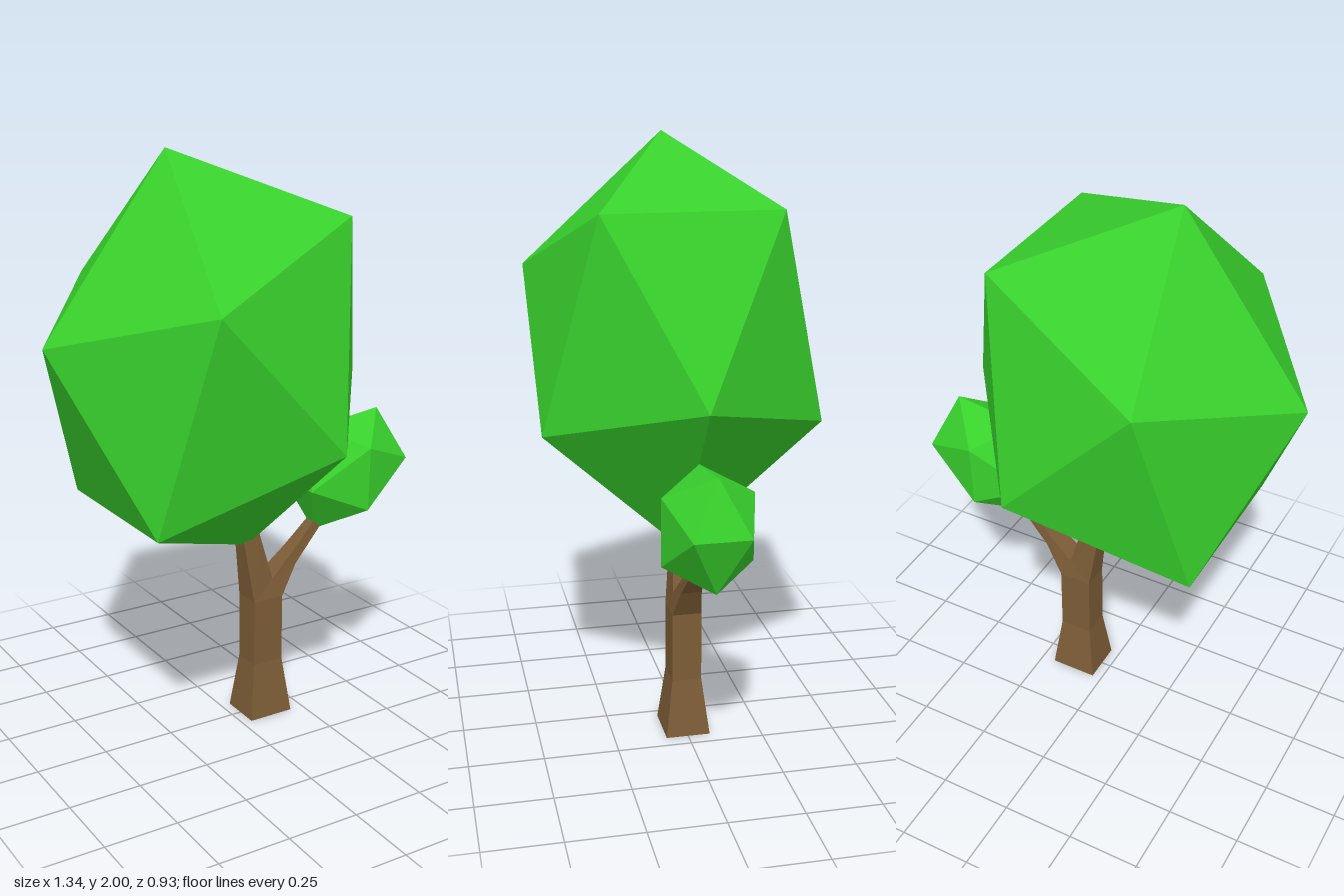
import * as THREE from 'three';
import { ConvexGeometry } from 'three/addons/geometries/ConvexGeometry.js';

const leafMaterial = new THREE.MeshStandardMaterial({ color: 0x38d02c, flatShading: true });
const barkMaterial = new THREE.MeshStandardMaterial({ color: 0x7d5d37, flatShading: true });

// Faceted leaf mass: points with z > 0 are mirrored to -z
function foliage(name, points) {
  const all = [];
  for (const [x, y, z] of points) {
    all.push(new THREE.Vector3(x, y, z));
    if (z > 0) all.push(new THREE.Vector3(x, y, -z));
  }
  const mesh = new THREE.Mesh(new ConvexGeometry(all), leafMaterial);
  mesh.name = name;
  return mesh;
}

// Four-sided limb lofted through rings [xLeft, yLeft, zHalfLeft, xRight, yRight, zHalfRight]
function limb(name, rings) {
  const corners = rings.map(([xl, yl, zl, xr, yr, zr]) => [
    [xl, yl, zl], [xr, yr, zr], [xr, yr, -zr], [xl, yl, -zl],
  ]);
  const positions = [];
  const quad = (a, b, c, d) => positions.push(...a, ...b, ...c, ...a, ...c, ...d);
  for (let r = 0; r < corners.length - 1; r++) {
    const low = corners[r], high = corners[r + 1];
    for (let i = 0; i < 4; i++) {
      const j = (i + 1) % 4;
      quad(low[i], low[j], high[j], high[i]);
    }
  }
  const first = corners[0], last = corners[corners.length - 1];
  quad(first[3], first[2], first[1], first[0]);
  quad(last[0], last[1], last[2], last[3]);
  const geometry = new THREE.BufferGeometry();
  geometry.setAttribute('position', new THREE.Float32BufferAttribute(positions, 3));
  geometry.computeVertexNormals();
  const mesh = new THREE.Mesh(geometry, barkMaterial);
  mesh.name = name;
  return mesh;
}

export function createModel() {
  const tree = new THREE.Group();
  tree.name = 'tree';

  // Flared trunk, closing in a wedge at the fork, then the main branch
  tree.add(limb('trunk', [
    [0.035, 0, 0.075, 0.2, 0, 0.075],
    [0.06, 0.2, 0.05, 0.175, 0.2, 0.05],
    [0.06, 0.44, 0.05, 0.175, 0.44, 0.05],
    [0.06, 0.44, 0.05, 0.14, 0.51, 0.04],
    [0.03, 0.66, 0.03, 0.09, 0.69, 0.03],
  ]));

  // Bent side branch carrying the small crown
  tree.add(limb('sideBranch', [
    [0.14, 0.51, 0.04, 0.175, 0.44, 0.05],
    [0.235, 0.595, 0.03, 0.24, 0.545, 0.035],
    [0.33, 0.69, 0.02, 0.36, 0.67, 0.02],
  ]));

  tree.add(foliage('largeCrown', [
    [-0.24, 2.0, 0], [0.06, 0.64, 0],
    [-0.67, 1.42, 0], [0.49, 1.215, 0],
    [0.26, 1.79, 0.29], [-0.44, 0.845, 0.29],
    [-0.315, 1.56, 0.465], [0.135, 1.075, 0.465],
  ]));

  tree.add(foliage('smallCrown', [
    [0.6, 1.055, 0], [0.335, 0.645, 0],
    [0.345, 1.02, 0], [0.585, 0.68, 0],
    [0.67, 0.88, 0.09], [0.265, 0.82, 0.09],
    [0.47, 0.96, 0.147], [0.465, 0.735, 0.147],
  ]));

  return tree;
}
